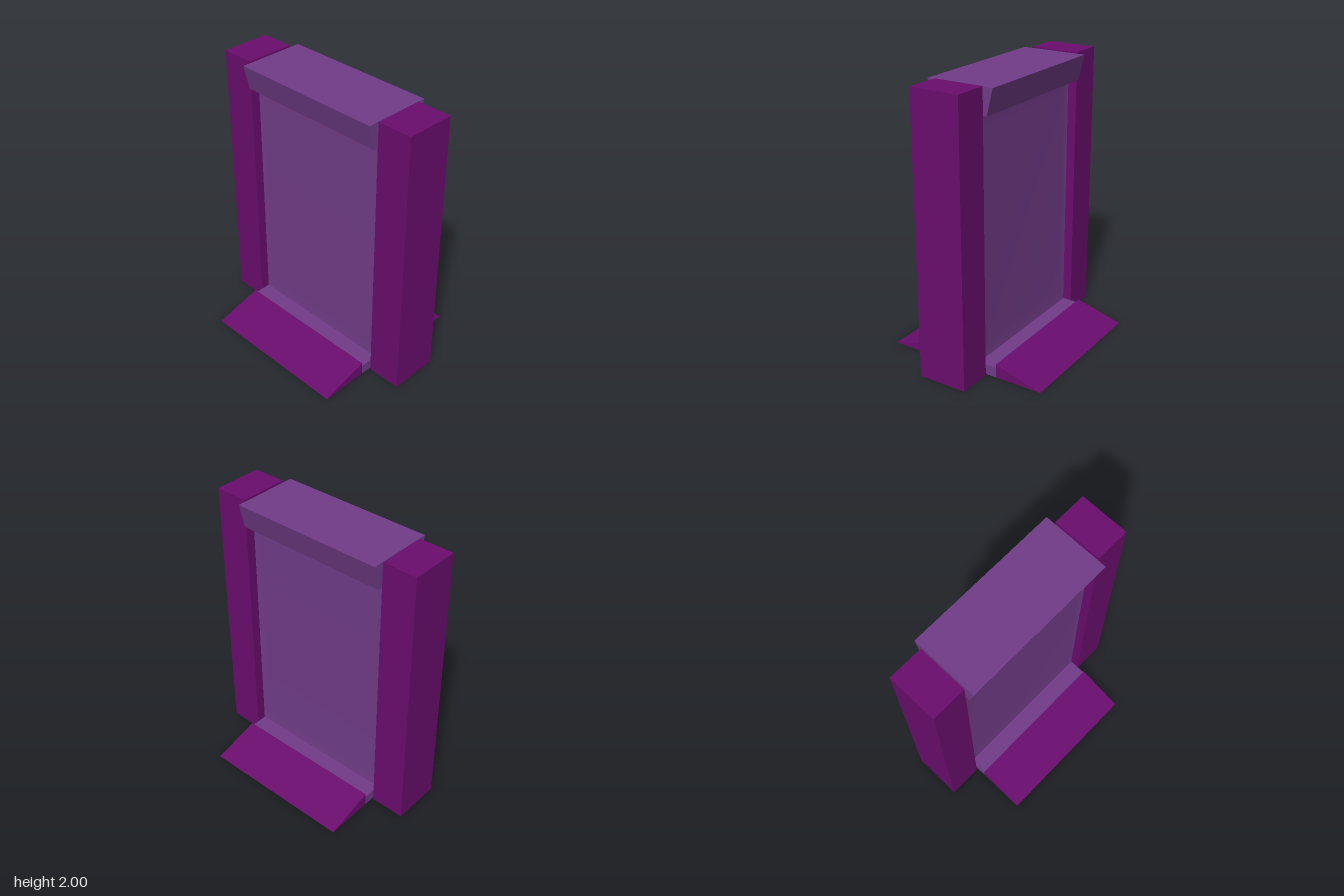
import * as THREE from 'three';

export function createModel() {
  const model = new THREE.Group();
  const dark = new THREE.MeshStandardMaterial({ color: 0x6a0d6e, flatShading: true });
  const light = new THREE.MeshStandardMaterial({ color: 0x713c88, flatShading: true });
  const depth = 1.135;

  const add = (name, geometry, material, x = 0, y = 0, z = 0) => {
    const mesh = new THREE.Mesh(geometry, material);
    mesh.name = name;
    mesh.position.set(x, y, z);
    model.add(mesh);
    return mesh;
  };

  // Extrudes an x-y outline along the full depth of the gate
  const prism = (points) => {
    const shape = new THREE.Shape(points.map(([x, y]) => new THREE.Vector2(x, y)));
    return new THREE.ExtrudeGeometry(shape, { depth, bevelEnabled: false })
      .translate(0, 0, -depth / 2);
  };

  // Front and back pillars
  for (const [name, s] of [['frontPillar', 1], ['backPillar', -1]]) {
    add(name, new THREE.BoxGeometry(0.36, 2, 0.25), dark, 0, 1, s * 0.703);
  }

  // Base sill and the ramps on either side of it
  add('baseSill', new THREE.BoxGeometry(0.51, 0.075, depth), light, 0, 0.0375, 0);
  const ramp = prism([[0.255, 0], [0.605, 0], [0.255, 0.1]]);
  add('leftRamp', ramp, dark);
  add('rightRamp', ramp, dark).rotation.y = Math.PI;

  // Lintel, flaring towards its top
  add('lintel', prism([[-0.2, 1.81], [0.2, 1.81], [0.245, 1.993], [-0.245, 1.993]]), light);

  // Panel with a shallow recess inside its sloping rim on both faces
  const h = 1.735;
  const panel = new THREE.BoxGeometry(0.24, h, depth, 1, 3, 3);
  const p = panel.attributes.position;
  for (let i = 0; i < p.count; i++) {
    const y = p.getY(i), z = p.getZ(i);
    const innerY = Math.abs(y) < h / 2 - 0.01, innerZ = Math.abs(z) < depth / 2 - 0.01;
    if (innerY) p.setY(i, Math.sign(y) * (h / 2 - 0.1));
    if (innerZ) p.setZ(i, Math.sign(z) * (depth / 2 - 0.05));
    if (innerY && innerZ) p.setX(i, Math.sign(p.getX(i)) * 0.11);
  }
  panel.computeVertexNormals();
  const smooth = light.clone();
  smooth.flatShading = false;
  add('recessedPanel', panel, smooth, 0, 0.075 + h / 2, 0);

  return model;
}
